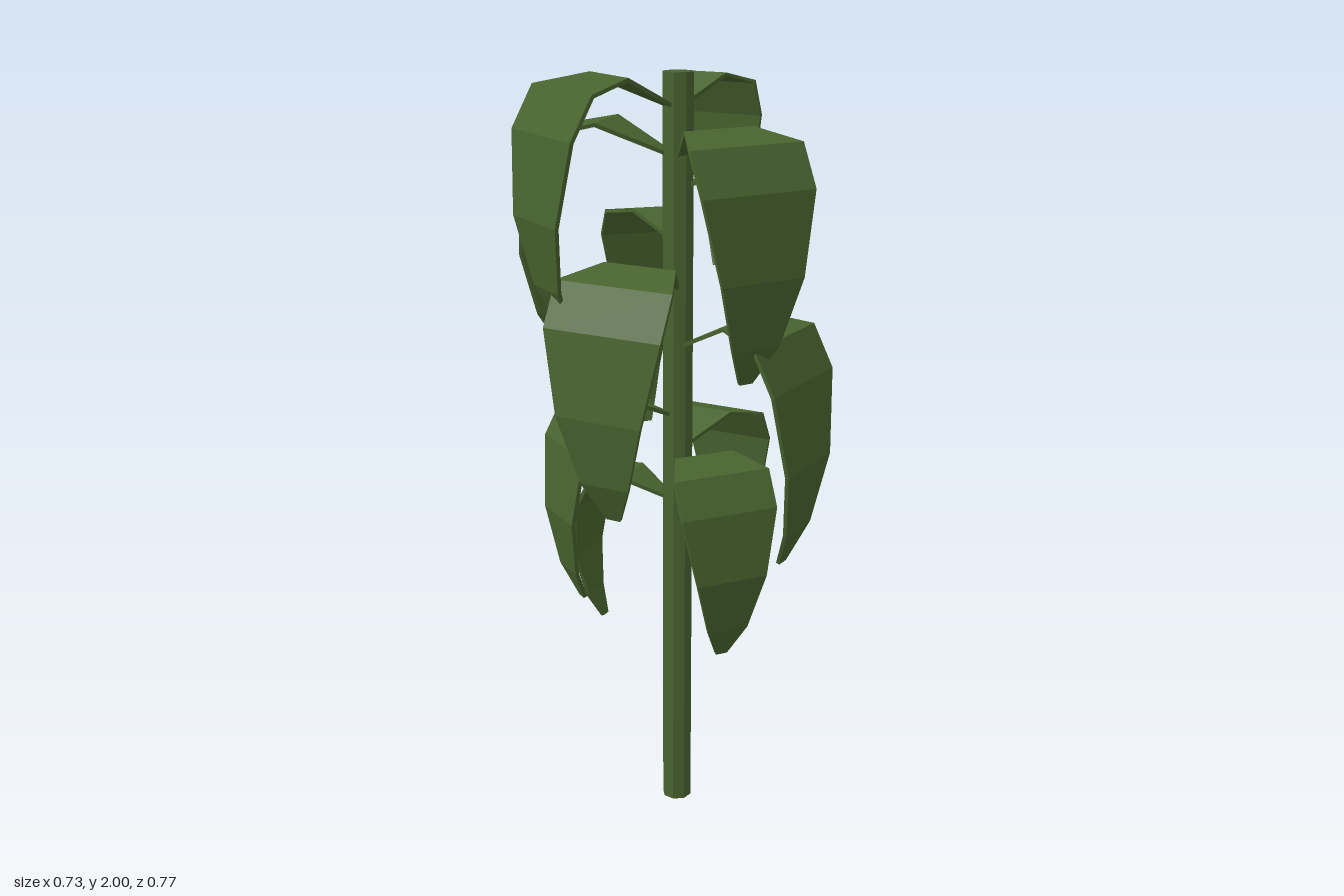
import * as THREE from 'three';

const green = new THREE.MeshStandardMaterial({ color: 0x48642f, flatShading: true, side: THREE.DoubleSide });
const STEM_X = 0.035, STEM_Z = -0.015, THICK = 0.01;

// Drooping leaf profile as fractions: [reach, drop below the crest, half width]
const PROFILE = [
  [0.00, 0.145, 0.04],
  [0.48, 0.00, 0.62],
  [0.80, 0.045, 1.00],
  [0.945, 0.22, 1.00],
  [1.00, 0.56, 0.73],
  [0.93, 0.84, 0.42],
  [0.82, 1.00, 0.12],
];

// Loft a thin four-cornered section along the profile
function leafGeometry(reach, halfWidth, height) {
  const p = PROFILE.map(([r, d, w]) => [r * reach, -d * height, w * halfWidth]);
  const pos = [], idx = [];
  p.forEach(([x, y, w], i) => {
    const a = p[Math.max(i - 1, 0)], b = p[Math.min(i + 1, p.length - 1)];
    const inward = new THREE.Vector2(b[1] - a[1], a[0] - b[0]).setLength(THICK);
    const u = x + inward.x, v = y + inward.y;
    pos.push(x, y, w, x, y, -w, u, v, -w, u, v, w);
    if (i === p.length - 1) return;
    for (let k = 0; k < 4; k++) {
      const a0 = i * 4 + k, a1 = i * 4 + (k + 1) % 4;
      idx.push(a0, a0 + 4, a1, a0 + 4, a1 + 4, a1);
    }
  });
  const e = (p.length - 1) * 4;
  idx.push(0, 1, 2, 0, 2, 3, e, e + 2, e + 1, e, e + 3, e + 2);
  const g = new THREE.BufferGeometry();
  g.setAttribute('position', new THREE.Float32BufferAttribute(pos, 3));
  g.setIndex(idx);
  const flat = g.toNonIndexed();
  flat.computeVertexNormals();
  return flat;
}

// Each leaf: [angle from +x towards +z in degrees, reach, half width, crest y, tip y]
const LEAVES = [
  [180, 0.40, 0.16, 2.00, 1.40],
  [-29, 0.255, 0.105, 1.99, 1.48],
  [88, 0.382, 0.16, 1.88, 1.28],
  [225, 0.385, 0.16, 1.88, 1.29],
  [31, 0.28, 0.108, 1.77, 1.42],
  [-77, 0.345, 0.118, 1.64, 1.22],
  [150, 0.39, 0.165, 1.55, 0.93],
  [60, 0.385, 0.165, 1.40, 0.77],
  [-90, 0.20, 0.075, 1.40, 1.06],
  [183, 0.345, 0.12, 1.20, 0.66],
  [-31, 0.32, 0.125, 1.10, 0.61],
  [95, 0.33, 0.132, 1.06, 0.55],
  [234, 0.275, 0.105, 0.95, 0.51],
];

export function createModel() {
  const model = new THREE.Group();
  model.name = 'plant';

  // Eight-sided stem
  const stem = new THREE.Mesh(new THREE.CylinderGeometry(0.04, 0.04, 2, 8), green);
  stem.name = 'stem';
  stem.position.set(STEM_X, 1, STEM_Z);
  model.add(stem);

  // Leaves around the stem, from the top down
  LEAVES.forEach(([angle, reach, halfWidth, crest, tip], i) => {
    const leaf = new THREE.Mesh(leafGeometry(reach, halfWidth, crest - tip), green);
    leaf.name = `leaf${i + 1}`;
    leaf.position.set(STEM_X, crest, STEM_Z);
    leaf.rotation.y = -THREE.MathUtils.degToRad(angle);
    model.add(leaf);
  });

  return model;
}
